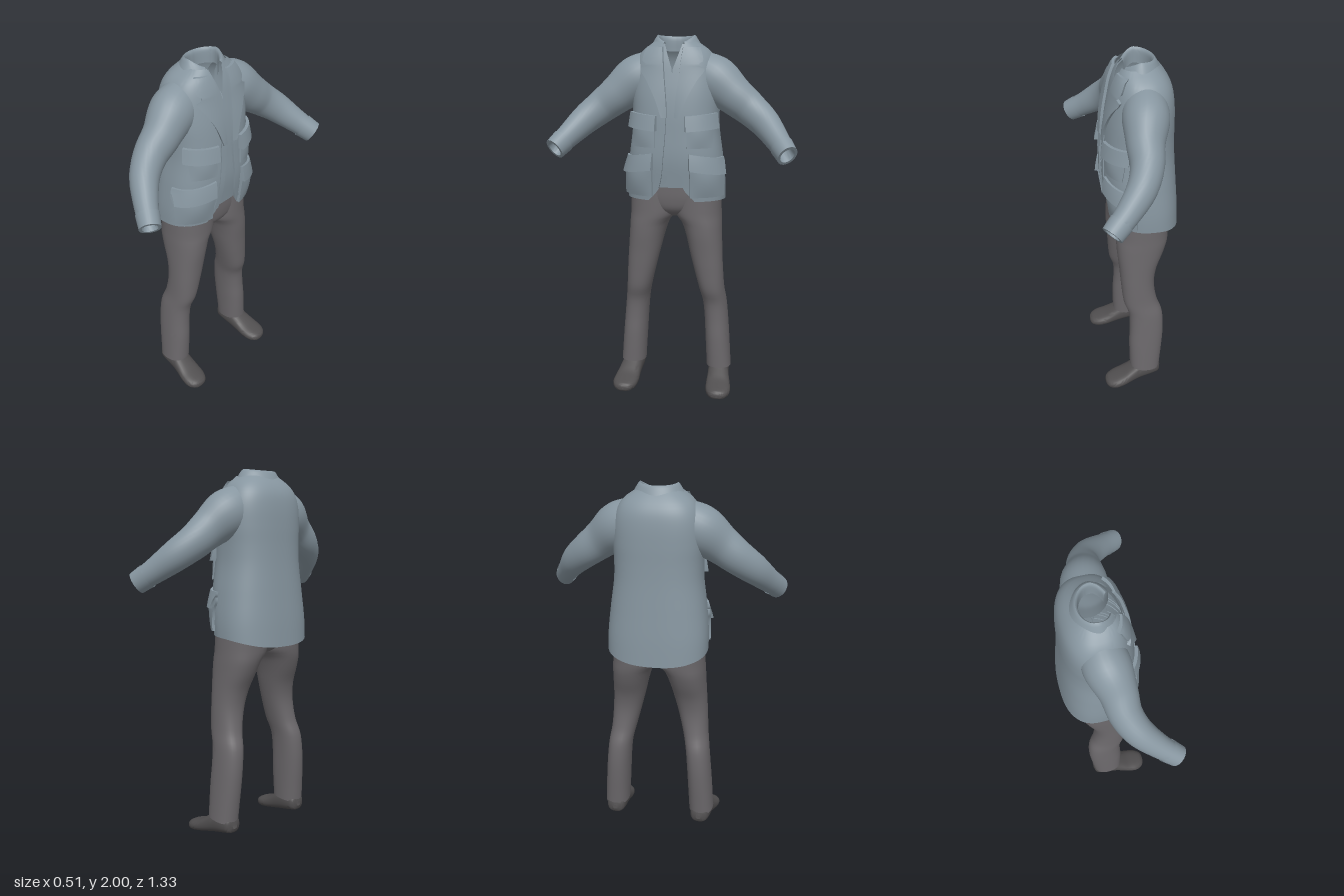
import * as THREE from 'three';
import { toCreasedNormals } from 'three/addons/utils/BufferGeometryUtils.js';

const paint = (name, color) => {
  const m = new THREE.MeshStandardMaterial({ color, side: THREE.DoubleSide });
  m.name = name;
  return m;
};

// Smooth interpolation through table rows [key, a, b, ...]
function at(rows, k) {
  const n = rows.length;
  k = Math.min(Math.max(k, rows[0][0]), rows[n - 1][0]);
  let i = 0;
  while (i < n - 2 && k > rows[i + 1][0]) i++;
  const slope = (j, c) => {
    const a = rows[Math.max(j - 1, 0)], b = rows[Math.min(j + 1, n - 1)];
    return (b[c] - a[c]) / (b[0] - a[0]);
  };
  const p = rows[i], q = rows[i + 1], h = q[0] - p[0], t = (k - p[0]) / h;
  return p.slice(1).map((_, j) => {
    const c = j + 1, t2 = t * t, t3 = t2 * t;
    return (2 * t3 - 3 * t2 + 1) * p[c] + (t3 - 2 * t2 + t) * h * slope(i, c)
      + (3 * t2 - 2 * t3) * q[c] + (t3 - t2) * h * slope(i + 1, c);
  });
}

// Surface from f(u, v) -> [x, y, z]
function sheet(nu, nv, f, crease = 0.8) {
  const pos = [], idx = [];
  for (let j = 0; j <= nv; j++)
    for (let i = 0; i <= nu; i++) pos.push(...f((i % (nu + 1)) / nu, j / nv));
  for (let j = 0; j < nv; j++)
    for (let i = 0; i < nu; i++) {
      const a = j * (nu + 1) + i, b = a + nu + 1;
      idx.push(a, b, a + 1, a + 1, b, b + 1);
    }
  const g = new THREE.BufferGeometry();
  g.setAttribute('position', new THREE.Float32BufferAttribute(pos, 3));
  g.setIndex(idx);
  return toCreasedNormals(g, crease);
}

const pw = (v, e) => Math.sign(v) * Math.abs(v) ** e;
const lerp = THREE.MathUtils.lerp;

// Torso sections: y, back x, front x, half width
const TORSO = [
  [1.05, -0.252, 0.112, 0.272], [1.2, -0.246, 0.13, 0.272], [1.35, -0.236, 0.148, 0.258],
  [1.5, -0.226, 0.145, 0.238], [1.6, -0.222, 0.14, 0.235], [1.7, -0.22, 0.128, 0.238],
  [1.8, -0.214, 0.108, 0.232], [1.87, -0.2, 0.092, 0.212], [1.92, -0.172, 0.074, 0.178],
  [1.965, -0.13, 0.055, 0.115]];
// Half width of the front opening
const GAP = [[1.05, 0.17], [1.12, 0.13], [1.2, 0.066], [1.4, 0.036], [1.6, 0.025], [1.82, 0.045], [1.97, 0.06]];

function torso(y, th, off = 0) {
  const [b, f, hz] = at(TORSO, y);
  return [(b + f) / 2 + ((f - b) / 2 + off) * pw(Math.cos(th), 0.8), y, (hz + off) * pw(Math.sin(th), 0.8)];
}
const angleOf = (y, z) => Math.asin(Math.min(Math.abs(z) / at(TORSO, y)[2], 0.995) ** 1.25);
const front = (y, z, off) => {
  const p = torso(y, angleOf(y, z), off);
  return [p[0], p[1], p[2] * Math.sign(z || 1)];
};

// Raised panel on the chest between z0(y) and z1(y); edges fold down to the cloth
function panel(s, y0, y1, z0, z1, off, nv = 12, skew = 0) {
  const nu = 12;
  return sheet(nu + 2, nv + 2, (u, v) => {
    const i = Math.round(u * (nu + 2)), j = Math.round(v * (nu ? nv + 2 : 1));
    const edge = i === 0 || j === 0 || i === nu + 2 || j === nv + 2;
    const a = Math.min(Math.max((i - 1) / nu, 0), 1), b = Math.min(Math.max((j - 1) / nv, 0), 1);
    const yy = lerp(y0, y1, b), z = lerp(z0(yy), z1(yy), a);
    const p = front(yy + skew * (a - 0.5), z, edge ? -0.004 : off(a, b));
    return [p[0], p[1], p[2] * s];
  }, 0.7);
}

// Leg sections: y, back x, front x, inner z, outer z
const LEG = [
  [0.115, -0.127, 0.048, 0.185, 0.325], [0.3, -0.145, 0.05, 0.175, 0.312], [0.42, -0.15, 0.045, 0.168, 0.302],
  [0.52, -0.142, 0.05, 0.158, 0.292], [0.6, -0.115, 0.075, 0.14, 0.281], [0.72, -0.1, 0.086, 0.11, 0.273],
  [0.82, -0.115, 0.092, 0.085, 0.267], [0.92, -0.155, 0.1, 0.06, 0.262], [0.99, -0.178, 0.102, 0.034, 0.259],
  [1.04, -0.186, 0.102, -0.005, 0.256], [1.22, -0.195, 0.1, -0.01, 0.25]];

// Shoe sections: x, bottom y, top y, centre z, half width
const SHOE = [
  [-0.132, 0.075, 0.1, 0.252, 0.015], [-0.122, 0.052, 0.13, 0.253, 0.042], [-0.09, 0.044, 0.145, 0.254, 0.056],
  [0, 0.026, 0.14, 0.258, 0.06], [0.05, 0.016, 0.112, 0.263, 0.064], [0.1, 0.007, 0.082, 0.268, 0.07],
  [0.15, 0.001, 0.064, 0.272, 0.068], [0.185, 0.002, 0.052, 0.272, 0.05], [0.2, 0.01, 0.04, 0.27, 0.028],
  [0.204, 0.022, 0.026, 0.27, 0.004]];

// Sleeve: centre line, then radius along it (ends turn inwards at the cuff)
const SLEEVE = new THREE.CatmullRomCurve3([
  [-0.05, 1.81, 0.12], [-0.035, 1.76, 0.22], [-0.01, 1.685, 0.32], [0.002, 1.62, 0.405],
  [0.045, 1.555, 0.485], [0.125, 1.48, 0.555], [0.215, 1.41, 0.615]].map(p => new THREE.Vector3(...p)));
const RADIUS = [[0, 0.115], [0.15, 0.128], [0.33, 0.104], [0.5, 0.09], [0.66, 0.08], [0.85, 0.065], [1, 0.056]];

function sleeve(s, t0, t1, grow, lip) {
  const nv = 36, fr = [];
  for (let j = 0; j <= nv; j++) {
    const t = lerp(t0, t1, Math.min(j / (nv - (lip ? 3 : 0)), 1));
    // The last rows fold the cloth back inside the opening
    const fold = lip ? Math.max(j - nv + 3, 0) : 0;
    const back = [0, 0, 0.03, 0.1][fold], r = at(RADIUS, t)[0] + grow - [0, 0.016, 0.02, 0.022][fold];
    const T = SLEEVE.getTangentAt(t), N = new THREE.Vector3(0, 1, 0);
    N.addScaledVector(T, -N.dot(T)).normalize();
    fr.push([SLEEVE.getPointAt(t - back), N, new THREE.Vector3().crossVectors(T, N), r]);
  }
  return sheet(28, nv, (u, v) => {
    const [c, N, B, r] = fr[Math.round(v * nv)], a = u * Math.PI * 2;
    const p = c.clone().addScaledVector(N, r * Math.cos(a)).addScaledVector(B, r * 0.9 * Math.sin(a));
    return [p.x, p.y, p.z * s];
  });
}

export function createModel() {
  const model = new THREE.Group();
  model.name = 'outfit';
  const cloth = paint('blue grey cloth', 0x8796a0);
  const trouser = paint('grey trouser', 0x6b686b);
  const leather = paint('dark shoe', 0x504e4f);
  const add = (name, geo, mat) => {
    const m = new THREE.Mesh(geo, mat);
    m.name = name;
    model.add(m);
  };

  // Jacket body, open down the front, with the hem lower at the back
  add('jacketBody', sheet(72, 48, (u, v) => {
    const turn = (1 - Math.cos(u * Math.PI * 2)) / 2;
    const y = lerp(1.125 - 0.058 * turn ** 2, 1.965, v);
    const g = angleOf(y, at(GAP, y)[0]);
    return torso(y, lerp(g, Math.PI * 2 - g, u));
  }), cloth);

  // Folded collar: inner band, rounded top, outer fall
  const COLLAR = [[0, 0.068, 0.088, 1.92], [0.45, 0.07, 0.09, 1.985], [0.55, 0.078, 0.097, 2.0],
    [0.65, 0.088, 0.107, 1.992], [1, 0.118, 0.142, 1.935]];
  add('collar', sheet(48, 16, (u, v) => {
    const [rx, rz, y] = at(COLLAR, v), a = lerp(0.55, Math.PI * 2 - 0.55, u), c = Math.cos(a);
    return [-0.042 + rx * c, y - 0.045 * Math.max(c, 0) ** 1.5 - 0.01 * Math.max(-c, 0), rz * Math.sin(a)];
  }), cloth);

  for (const s of [1, -1]) {
    const side = s > 0 ? 'left' : 'right';

    // Shirt under the jacket, with a V at the neck
    add(side + 'Shirt', sheet(6, 24, (u, v) => {
      const y = lerp(1.2, 1.955, v);
      const p = front(y, lerp(Math.max(0, (y - 1.82) * 0.38), 0.1, u), -0.014);
      return [p[0], p[1], p[2] * s];
    }), cloth);

    // Front band and lapel
    add(side + 'FrontBand', panel(s, 1.2, 1.62, y => at(GAP, y)[0], y => at(GAP, y)[0] + 0.03, () => 0.006), cloth);
    const outer = [[1.58, 0.045], [1.68, 0.08], [1.77, 0.125], [1.83, 0.16], [1.85, 0.128], [1.87, 0.15], [1.94, 0.13]];
    add(side + 'Lapel', panel(s, 1.58, 1.94, y => at(GAP, y)[0] - 0.004, y => at(outer, y)[0],
      a => 0.01 + 0.006 * a, 30), cloth);

    // Chest and hip pockets, each with a flap
    const bulge = (d, e) => (a, b) => d + e * Math.sin(Math.PI * a) * Math.sin(Math.PI * b);
    add(side + 'ChestPocket', panel(s, 1.42, 1.57, () => 0.085, () => 0.212, bulge(0.008, 0.008)), cloth);
    add(side + 'ChestFlap', panel(s, 1.515, 1.595, () => 0.075, () => 0.222,
      (a, b) => 0.028 - 0.012 * b, 8, 0.012), cloth);
    add(side + 'HipPocket', panel(s, 1.15, 1.33, () => 0.1, () => 0.262, bulge(0.014, 0.01)), cloth);
    add(side + 'HipFlap', panel(s, 1.285, 1.375, () => 0.095, () => 0.258,
      (a, b) => 0.03 - 0.018 * b, 8, -0.03), cloth);

    // Sleeve and cuff
    add(side + 'Sleeve', sleeve(s, 0, 0.985, 0, false), cloth);
    add(side + 'Cuff', sleeve(s, 0.9, 1, 0.004, true), cloth);

    // Trouser leg
    add(side + 'Leg', sheet(32, 48, (u, v) => {
      const y = lerp(0.115, 1.22, v), [b, f, i, o] = at(LEG, y), a = u * Math.PI * 2;
      const drop = 0.012 * Math.cos(a) * Math.max(0, 1 - v * 12);
      return [(b + f) / 2 + (f - b) / 2 * pw(Math.cos(a), 0.88), y + drop,
        s * ((i + o) / 2 + (o - i) / 2 * pw(Math.sin(a), 0.88))];
    }), trouser);

    // Shoe
    add(side + 'Shoe', sheet(28, 40, (u, v) => {
      const x = lerp(-0.132, 0.204, (1 - Math.cos(v * Math.PI)) / 2), a = u * Math.PI * 2;
      const [lo, hi, zc, w] = at(SHOE, x);
      return [x, Math.max(0, (lo + hi) / 2 + (hi - lo) / 2 * pw(Math.sin(a), 0.8)),
        s * (zc + w * pw(Math.cos(a), 0.8))];
    }), leather);
  }

  // Hips joining both legs
  const HIPS = [[1.01, 0.02, 0.02], [1.025, 0.075, 0.06], [1.06, 0.125, 0.16], [1.12, 0.143, 0.24], [1.22, 0.146, 0.248]];
  add('hips', sheet(48, 16, (u, v) => {
    const y = lerp(1.01, 1.22, v), [rx, rz] = at(HIPS, y), a = u * Math.PI * 2;
    return [-0.045 + rx * pw(Math.cos(a), 0.85), y, rz * pw(Math.sin(a), 0.85)];
  }), trouser);

  return model;
}
